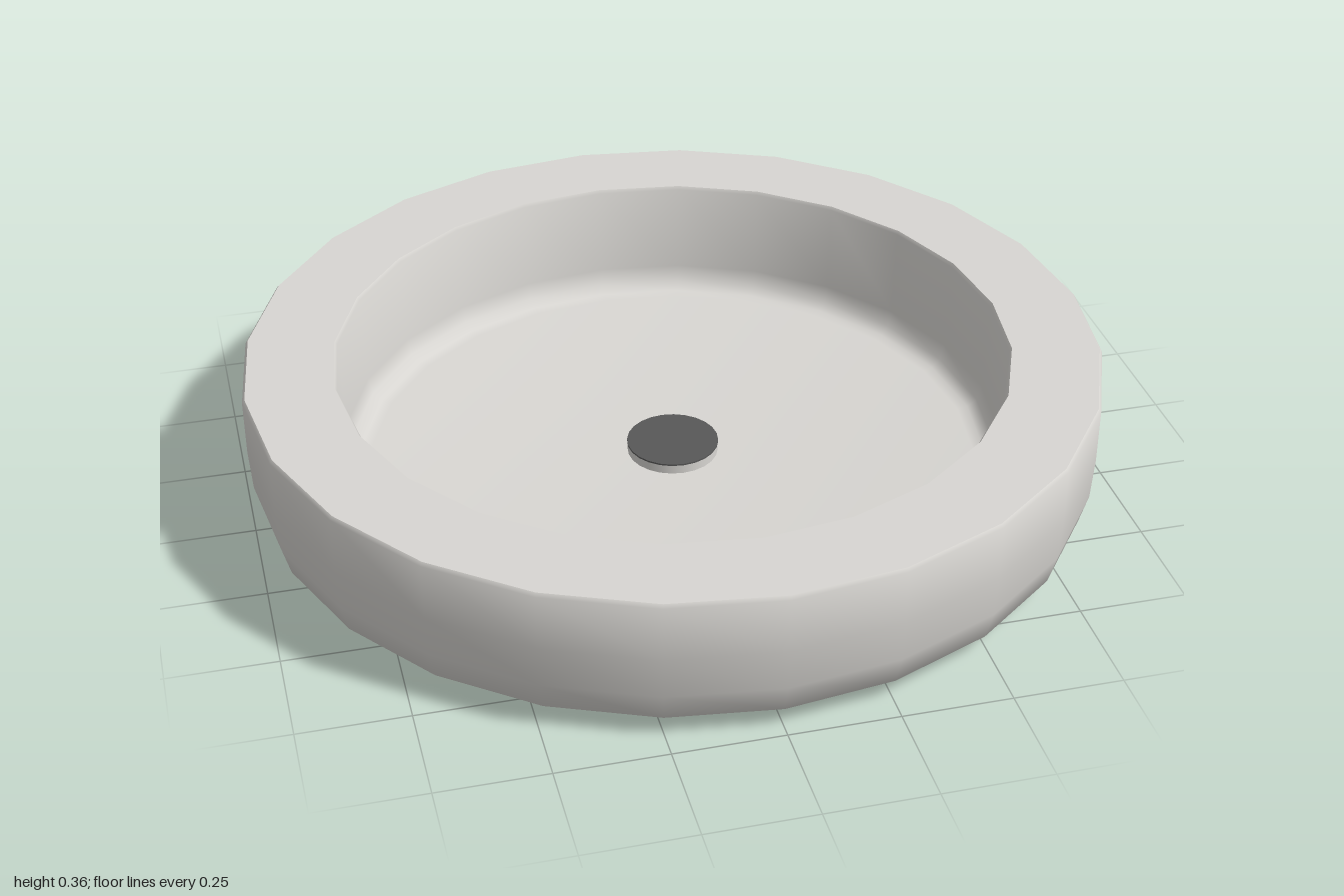
import * as THREE from 'three';
import { toCreasedNormals } from 'three/addons/utils/BufferGeometryUtils.js';

const SIDES = 24;

export function createModel() {
  const model = new THREE.Group();
  model.name = 'roundBasin';

  const ceramic = new THREE.MeshStandardMaterial({ color: 0xd8d6d2 });
  ceramic.name = 'pale ceramic';
  const dark = new THREE.MeshStandardMaterial({ color: 0x585858 });
  dark.name = 'dark drain';

  const add = (name, geometry, material, y = 0) => {
    const mesh = new THREE.Mesh(geometry, material);
    mesh.name = name;
    mesh.position.y = y;
    model.add(mesh);
  };

  // Bowl profile: underside, rounded foot, outer wall, flat rim, inner wall, floor
  const profile = [
    [0, 0], [0.88, 0], [0.915, 0.006], [0.975, 0.05], [0.994, 0.12],
    [1, 0.22], [1, 0.352], [0.994, 0.36],
    [0.79, 0.36], [0.785, 0.352], [0.778, 0.13], [0.768, 0.09],
    [0.745, 0.073], [0.72, 0.07], [0, 0.07],
  ].map(([r, y]) => new THREE.Vector2(r, y));
  add('basin', toCreasedNormals(new THREE.LatheGeometry(profile, SIDES), 0.87), ceramic);

  // Raised drain collar with a dark cap
  add('drainCollar', new THREE.CylinderGeometry(0.108, 0.108, 0.024, SIDES), ceramic, 0.08);
  add('drainCap', new THREE.CylinderGeometry(0.109, 0.109, 0.004, SIDES), dark, 0.094);

  return model;
}
